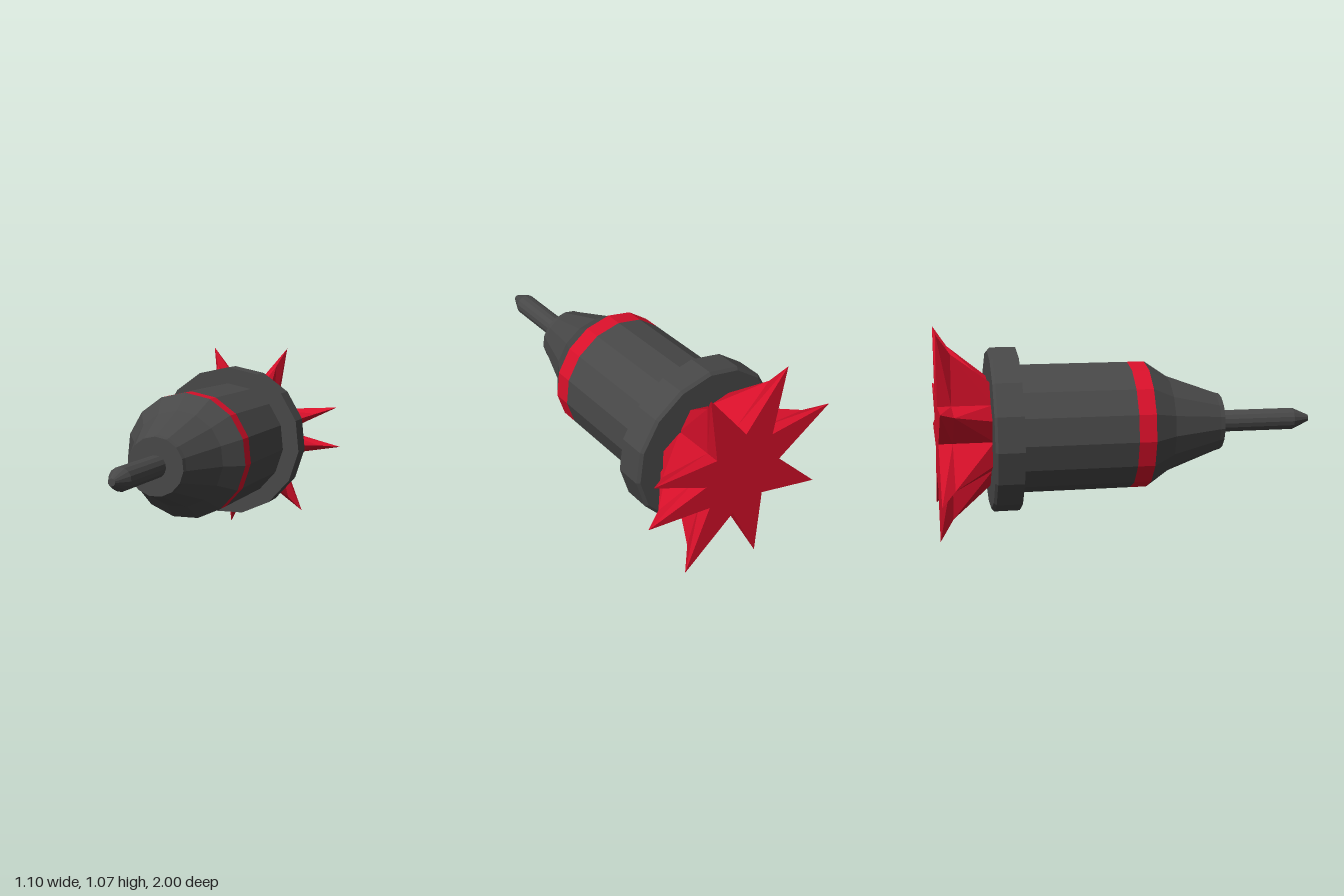
import * as THREE from 'three';

const SIDES = 15;
const CENTRE = [-0.012, 0.555];
const grey = new THREE.MeshStandardMaterial({ color: 0x484848, flatShading: true });
const red = new THREE.MeshStandardMaterial({ color: 0xd8102a, flatShading: true });

// Revolves [radius, z] pairs, listed from back to front, around the z axis
function turned(name, profile, material) {
  const points = profile.map(([r, z]) => new THREE.Vector2(r, z));
  const geometry = new THREE.LatheGeometry(points, SIDES, Math.PI);
  geometry.rotateX(Math.PI / 2);
  const mesh = new THREE.Mesh(geometry, material);
  mesh.name = name;
  return mesh;
}

// Flared star: rings of alternating spikes and valleys; two spikes sit close together
function starGeometry() {
  const tips = [-6, 18, 66, 114, 162, 210, 258, 306];
  const rings = [[0.567, 0.23, -1], [0.455, 0.23, -0.93], [0.28, 0.23, -0.725]];
  const n = tips.length * 2;
  const positions = [];
  for (const [tipR, valleyR, z] of rings) {
    tips.forEach((tip, i) => {
      const next = i + 1 < tips.length ? tips[i + 1] : tips[0] + 360;
      for (const [deg, r] of [[tip, tipR], [(tip + next) / 2, valleyR]]) {
        const a = THREE.MathUtils.degToRad(deg);
        positions.push(r * Math.cos(a), r * Math.sin(a), z);
      }
    });
  }
  const back = rings.length * n, front = back + 1;
  positions.push(0, 0, rings[0][2], 0, 0, rings[2][2]);
  const index = [];
  for (let i = 0; i < n; i++) {
    const j = (i + 1) % n;
    for (let k = 0; k < rings.length - 1; k++) {
      const a = k * n + i, b = k * n + j;
      // Split each quad from the spike side so both flanks mirror
      if (i % 2 === 0) index.push(a, b, b + n, a, b + n, a + n);
      else index.push(a, b, a + n, b, b + n, a + n);
    }
    index.push(back, j, i);
    index.push(front, 2 * n + i, 2 * n + j);
  }
  const geometry = new THREE.BufferGeometry();
  geometry.setAttribute('position', new THREE.Float32BufferAttribute(positions, 3));
  geometry.setIndex(index);
  const flat = geometry.toNonIndexed();
  flat.computeVertexNormals();
  return flat;
}

export function createModel() {
  const model = new THREE.Group();
  model.name = 'dart';

  // Rear collar, main barrel and tapered nose
  model.add(turned('collar', [[0, -0.735], [0.41, -0.735], [0.425, -0.722], [0.425, -0.59], [0.3, -0.59]], grey));
  model.add(turned('barrel', [[0.333, -0.59], [0.333, -0.005]], grey));
  model.add(turned('band', [[0.333, -0.005], [0.333, 0.085]], red));
  model.add(turned('nose', [[0.333, 0.085], [0.252, 0.205], [0.156, 0.47], [0.15, 0.495], [0, 0.495]], grey));

  // Needle with a blunt point
  model.add(turned('needle', [[0.058, 0.49], [0.058, 0.91], [0.018, 1], [0, 1]], grey));

  // Star-shaped tail
  const tail = new THREE.Mesh(starGeometry(), red);
  tail.name = 'starTail';
  model.add(tail);

  for (const part of model.children) part.position.set(CENTRE[0], CENTRE[1], 0);
  return model;
}
